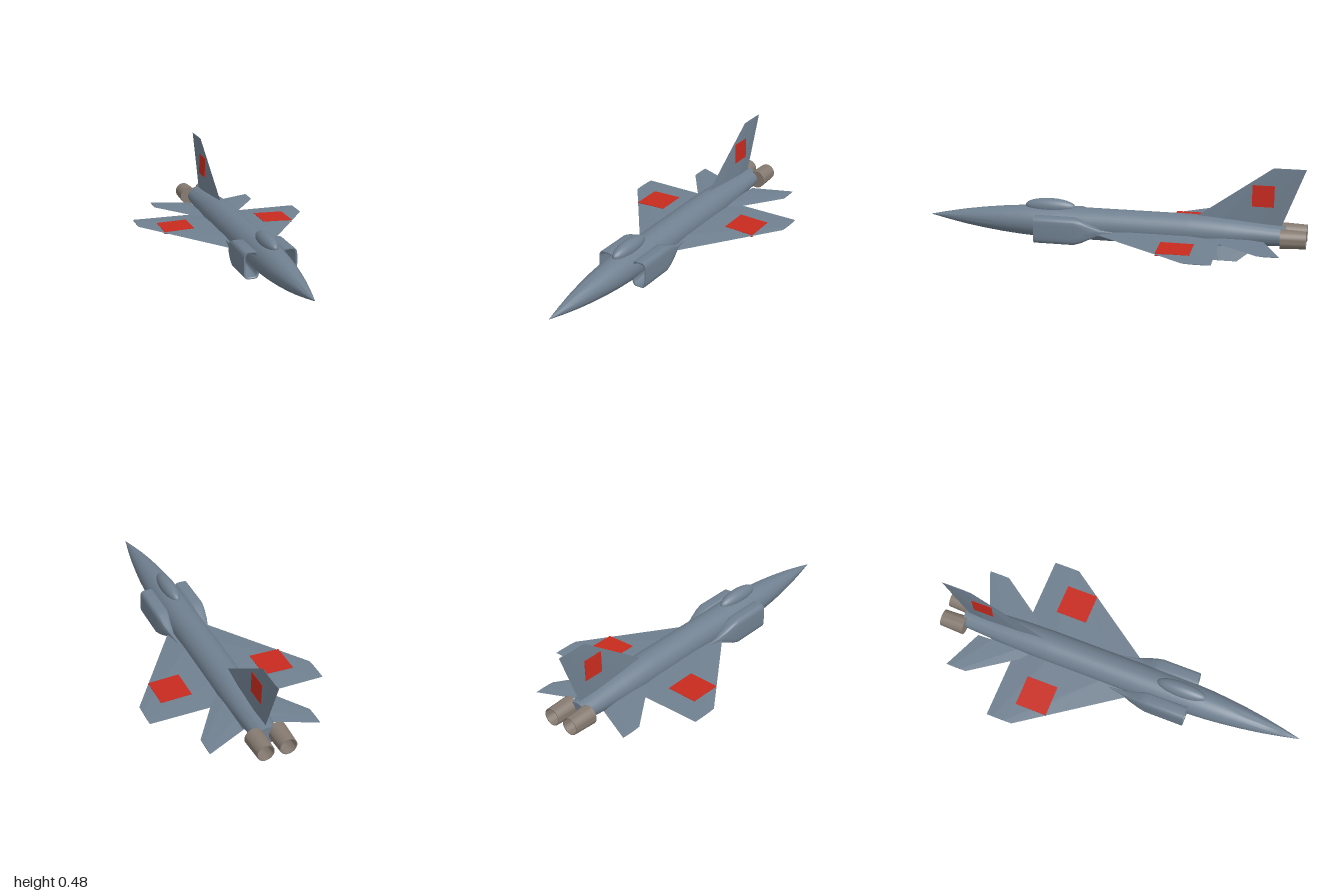
import * as THREE from 'three';
import { toCreasedNormals } from 'three/addons/utils/BufferGeometryUtils.js';

const V = (x, y, z) => new THREE.Vector3(x, y, z);

// Skin a list of equal-length closed rings, optionally capping the ends.
function loft(rings, crease, capStart = false, capEnd = false) {
  const n = rings[0].length;
  const points = rings.flat();
  const index = [];
  for (let i = 0; i < rings.length - 1; i++) {
    for (let j = 0; j < n; j++) {
      const a = i * n + j, b = i * n + (j + 1) % n;
      index.push(a, a + n, b, b, a + n, b + n);
    }
  }
  const last = (rings.length - 1) * n;
  for (let j = 1; j < n - 1; j++) {
    if (capStart) index.push(0, j, j + 1);
    if (capEnd) index.push(last, last + j + 1, last + j);
  }
  const g = new THREE.BufferGeometry().setFromPoints(points);
  g.setIndex(index);
  g.computeVertexNormals();
  return toCreasedNormals(g, crease);
}

// Superellipse ring across z; power 1 is an ellipse, smaller is boxier.
function ring(x, y, z, hx, hy, power = 1, n = 36) {
  const bend = (v) => Math.sign(v) * Math.abs(v) ** power;
  return Array.from({ length: n }, (_, j) => {
    const t = (j / n) * Math.PI * 2;
    return V(x + hx * bend(Math.cos(t)), y + hy * bend(Math.sin(t)), z);
  });
}

// Thin tapered surface between a root chord and a tip chord.
function airfoil(rootLE, rootTE, tipLE, tipTE, normal, tRoot, tTip) {
  const section = (le, te, t) =>
    [[0, 0], [0.3, 1], [0.75, 1], [1, 0], [0.75, -1], [0.3, -1]].map(([f, h]) =>
      le.clone().lerp(te, f).addScaledVector(normal, h * t));
  return loft([section(rootLE, rootTE, tRoot), section(tipLE, tipTE, tTip)], 0.02, true, true);
}

export function createModel() {
  const model = new THREE.Group();
  model.name = 'jetAircraft';
  const material = (name, color) => {
    const m = new THREE.MeshStandardMaterial({ color, side: THREE.DoubleSide });
    m.name = name;
    return m;
  };
  const grey = material('slateGrey', 0x708090);
  const metal = material('nozzleMetal', 0x857a70);
  const red = material('panelRed', 0xc82a1e);

  const add = (name, geometry, mat = grey) => {
    const mesh = new THREE.Mesh(geometry, mat);
    mesh.name = name;
    model.add(mesh);
    return mesh;
  };

  // Fuselage: z, centre y, half width, half height
  const stations = [
    [1, 0.13, 0.0005, 0.0005], [0.9, 0.13, 0.022, 0.022], [0.8, 0.13, 0.041, 0.041],
    [0.7, 0.13, 0.056, 0.056], [0.6, 0.13, 0.068, 0.068], [0.5, 0.13, 0.077, 0.077],
    [0.4, 0.129, 0.082, 0.082], [0.3, 0.129, 0.084, 0.084], [-0.4, 0.129, 0.084, 0.084],
    [-0.5, 0.128, 0.082, 0.081], [-0.6, 0.128, 0.079, 0.075], [-0.87, 0.128, 0.065, 0.051],
    [-0.89, 0.128, 0.064, 0.05],
  ];
  add('fuselage', loft(stations.map(([z, y, hx, hy]) => ring(0, y, z, hx, hy)), 0.7, false, true));

  // Canopy bubble
  const canopy = add('canopy', new THREE.SphereGeometry(1, 32, 20));
  canopy.scale.set(0.04, 0.042, 0.135);
  canopy.position.set(0, 0.213, 0.34);

  // Tail fin and its coloured panels
  add('tailFin', airfoil(V(0, 0.15, -0.357), V(0, 0.15, -0.86), V(0, 0.48, -0.82), V(0, 0.48, -0.985),
    V(1, 0, 0), 0.009, 0.002));

  for (const s of [1, -1]) {
    const side = s > 0 ? 'left' : 'right';

    // Air intake: inner duct, lip, outer shell and tapered tail
    const duct = [
      [0.1, 0.112, 0.15, 0.008, 0.015], [0.1, 0.115, 0.397, 0.031, 0.061],
      [0.1, 0.115, 0.4, 0.035, 0.065], [0.1, 0.115, 0.4, 0.04, 0.07],
      [0.1, 0.115, 0.19, 0.04, 0.07], [0.1, 0.115, 0.15, 0.034, 0.058],
      [0.1, 0.115, 0.1, 0.024, 0.034], [0.098, 0.115, 0.05, 0.011, 0.012],
      [0.095, 0.113, -0.03, 0.003, 0.004],
    ];
    add(side + 'Intake', loft(duct.map(([x, y, z, hx, hy]) => ring(s * x, y, z, hx, hy, 0.45)), 0.6, true, true));

    // Delta wing
    add(side + 'Wing', airfoil(V(s * 0.05, 0.108, 0.163), V(s * 0.05, 0.108, -0.57),
      V(s * 0.468, 0.108, -0.43), V(s * 0.468, 0.108, -0.57), V(0, 1, 0), 0.014, 0.002));

    // Tailplane
    add(side + 'Tailplane', airfoil(V(s * 0.078, 0.112, -0.465), V(s * 0.078, 0.112, -0.79),
      V(s * 0.29, 0.108, -0.77), V(s * 0.29, 0.108, -0.882), V(0, 1, 0), 0.007, 0.002));

    // Ventral fin, canted outwards
    add(side + 'VentralFin', airfoil(V(s * 0.042, 0.09, -0.44), V(s * 0.042, 0.09, -0.77),
      V(s * 0.083, 0.002, -0.525), V(s * 0.083, 0.002, -0.655), V(0.91, s * 0.42, 0), 0.005, 0.002));

    // Hollow exhaust nozzle
    const profile = [[0, 0], [0.05, 0], [0.045, 0.13], [0.041, 0.13], [0.036, 0.03], [0, 0.03]]
      .map(([r, h]) => new THREE.Vector2(r, h));
    const nozzle = add(side + 'Nozzle', toCreasedNormals(new THREE.LatheGeometry(profile, 32), 0.6), metal);
    nozzle.rotation.x = -Math.PI / 2;
    nozzle.position.set(s * 0.059, 0.13, -0.87);

    // Red panels above and below each wing, and on both sides of the fin
    for (const v of [1, -1]) {
      const panel = add(side + (v > 0 ? 'UpperWingPanel' : 'LowerWingPanel'),
        new THREE.BoxGeometry(0.164, 0.003, 0.17), red);
      panel.position.set(s * 0.28, 0.108 + v * 0.0075, -0.365);
      panel.rotation.z = -s * v * 0.0286;
    }
    const finPanel = add(side + 'FinPanel', new THREE.BoxGeometry(0.003, 0.112, 0.112), red);
    finPanel.position.set(s * 0.0052, 0.332, -0.773);
    finPanel.rotation.z = s * 0.0212;
  }
  return model;
}
